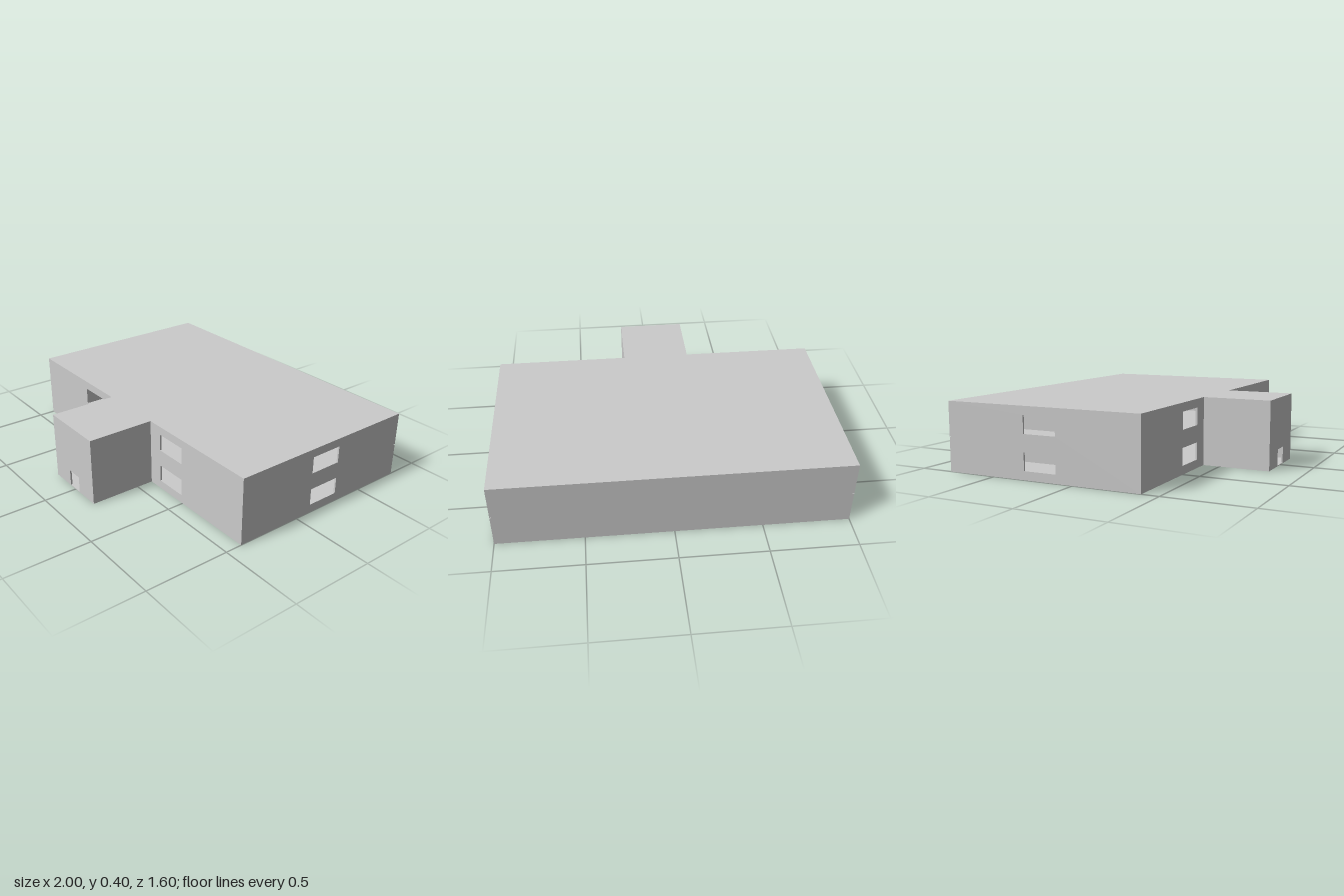
import * as THREE from 'three';

const T = 0.01;      // wall thickness
const S = 0.004;     // slab thickness
const H = 0.4;       // building height
const mat = new THREE.MeshStandardMaterial({ color: 0xcccccc, flatShading: true });

// Wall elevation from u = a to b, with a door notch and rectangular windows
function wallGeometry(a, b, y0, y1, windows = [], door = null) {
  const s = new THREE.Shape().moveTo(a, y0);
  if (door) {
    const [d0, d1, top] = door;
    s.lineTo(d0, y0).lineTo(d0, top).lineTo(d1, top).lineTo(d1, y0);
  }
  s.lineTo(b, y0).lineTo(b, y1).lineTo(a, y1).closePath();
  for (const [u0, u1, v0, v1] of windows) {
    s.holes.push(new THREE.Path().moveTo(u0, v0).lineTo(u0, v1).lineTo(u1, v1).lineTo(u1, v0).closePath());
  }
  return new THREE.ExtrudeGeometry(s, { depth: T, bevelEnabled: false });
}

// Horizontal T-shaped slab; e insets its sides and front
function slabGeometry(e) {
  const pts = [[-1 + e, 0.8], [-1 + e, -0.4 + e], [-0.21 + e, -0.4 + e], [-0.21 + e, -0.8 + e],
    [0.2 - e, -0.8 + e], [0.2 - e, -0.4 + e], [1 - e, -0.4 + e], [1 - e, 0.8]];
  const s = new THREE.Shape(pts.map(([x, y]) => new THREE.Vector2(x, y)));
  return new THREE.ExtrudeGeometry(s, { depth: S, bevelEnabled: false }).rotateX(-Math.PI / 2);
}

export function createModel() {
  const g = new THREE.Group();
  g.name = 'building';
  const add = (name, geo, x = 0, y = 0, z = 0) => {
    const m = new THREE.Mesh(geo, mat);
    m.name = name;
    m.position.set(x, y, z);
    g.add(m);
  };
  // Wall facing z, front surface at z
  const wallZ = (name, z, ...args) => add(name, wallGeometry(...args), 0, 0, z - T);
  // Wall facing x, occupying x - T to x
  const wallX = (name, x, ...args) => add(name, wallGeometry(...args).rotateY(-Math.PI / 2), x);
  // One window on each storey
  const pair = (u0, u1) => [[u0, u1, 0.05, 0.15], [u0, u1, 0.25, 0.35]];
  const top = H - S;

  // Floors and flat roof
  add('groundFloor', slabGeometry(0));
  add('upperFloor', slabGeometry(T), 0, 0.2 - S);
  add('roof', slabGeometry(0), 0, top);

  // Front walls beside the entrance wing
  wallZ('frontWallRight', 0.4, -1, -0.21, S, top, pair(-0.505, -0.305));
  wallZ('frontWallLeft', 0.4, 0.2, 1, S, top, pair(0.29, 0.49));

  // Side walls
  wallX('sideWallLeft', 1, -0.79, 0.39, S, top, pair(-0.3, -0.1));
  wallX('sideWallRight', -1 + T, -0.79, 0.39, S, top, pair(-0.3, -0.1));

  // Entrance wing
  wallX('entranceWallLeft', 0.2, 0.39, 0.79, S, top);
  wallX('entranceWallRight', -0.2, 0.39, 0.79, S, top);
  wallZ('entranceFront', 0.8, -0.21, 0.2, S, top, [], [-0.055, 0.045, 0.1]);

  // Each storey: partitions with doorways, and back panels between them
  for (const [y0, y1, doorTop] of [[S, 0.2 - S, 0.1], [0.2, top, 0.3]]) {
    for (const x of [-0.6, 0.6]) {
      wallX('partition', x + T / 2, -0.8, 0.39, y0, y1, [], [-0.25, -0.15, doorTop]);
    }
    for (const [a, b] of [[-1, -0.605], [-0.595, 0.595], [0.605, 1]]) {
      wallZ('backPanel', -0.79, a, b, y0, y1);
    }
  }
  return g;
}
